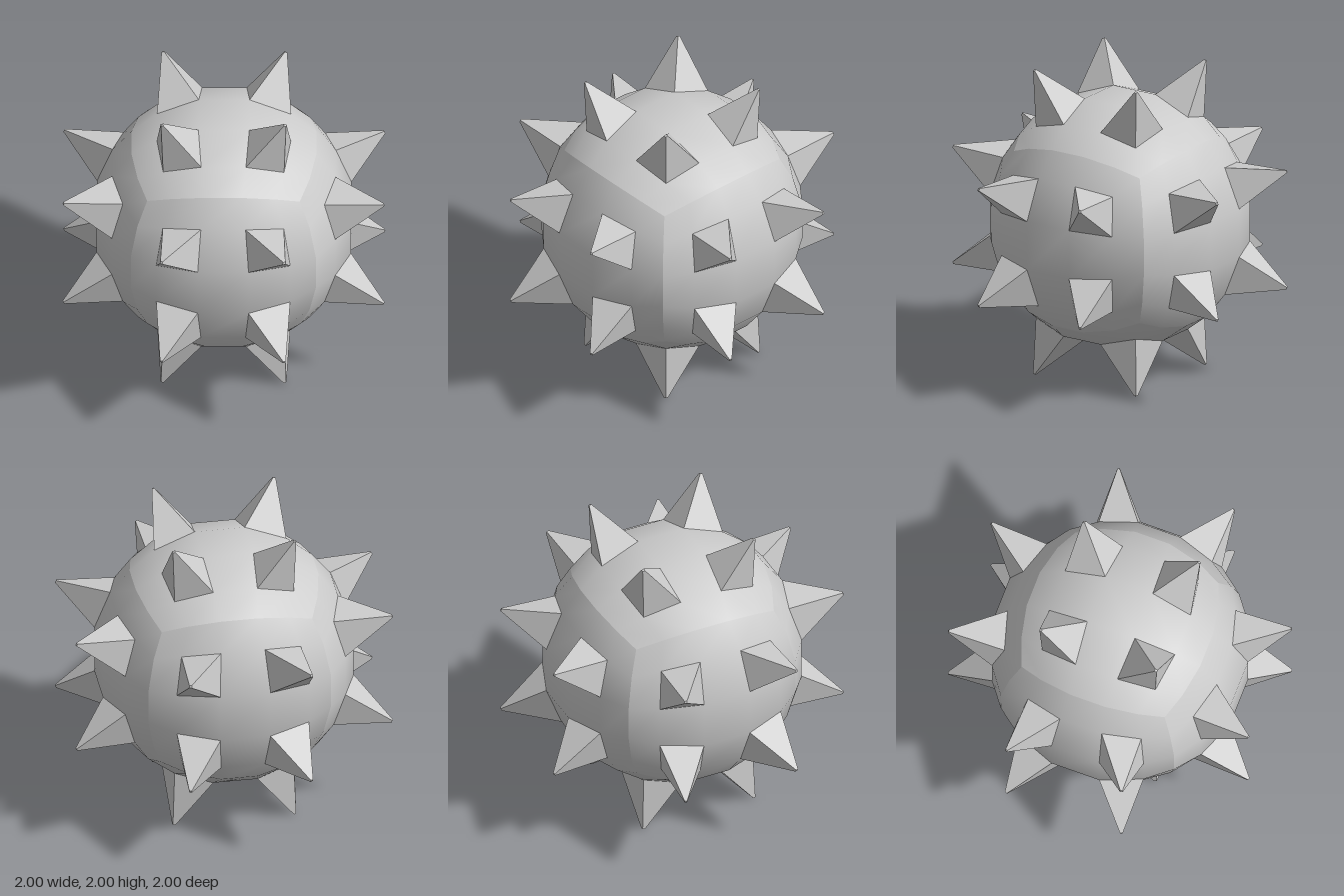
import * as THREE from 'three';

const RADIUS = 0.823;
const onBall = (u, v) => new THREE.Vector3(u, v, 1).setLength(RADIUS);

// One sixth of the ball: a 5 x 5 grid on a cube side, pushed out to the sphere
function panelGeometry() {
  const geometry = new THREE.PlaneGeometry(2, 2, 5, 5);
  const position = geometry.attributes.position;
  for (let i = 0; i < position.count; i++) {
    const p = onBall(position.getX(i), position.getY(i));
    position.setXYZ(i, p.x, p.y, p.z);
  }
  geometry.computeVertexNormals();
  return geometry;
}

// One grid cell drawn out to a tiny blunt tip
function spikeGeometry() {
  const base = [[0.2, 0.2], [0.6, 0.2], [0.6, 0.6], [0.2, 0.6]].map(([u, v]) => onBall(u, v));
  const centre = new THREE.Vector3();
  base.forEach((p) => centre.addScaledVector(p, 0.25));
  const peak = new THREE.Vector3(0.383, 0.383, 0.997);
  const tip = base.map((p) => p.clone().sub(centre).multiplyScalar(0.06).add(peak));

  const index = [4, 5, 6, 4, 6, 7];
  for (let i = 0; i < 4; i++) {
    const j = (i + 1) % 4;
    index.push(i, j, j + 4, i, j + 4, i + 4);
  }
  const geometry = new THREE.BufferGeometry().setFromPoints([...base, ...tip]);
  geometry.setIndex(index);
  geometry.computeVertexNormals();
  return geometry;
}

export function createModel() {
  const model = new THREE.Group();
  model.name = 'spikedBall';
  const smooth = new THREE.MeshStandardMaterial({ color: 0xcccccc });
  const faceted = new THREE.MeshStandardMaterial({ color: 0xcccccc, flatShading: true });
  const panel = panelGeometry();
  const spike = spikeGeometry();

  const quarter = Math.PI / 2;
  const sides = {
    front: [0, 0], left: [0, quarter], back: [0, Math.PI], right: [0, -quarter],
    top: [-quarter, 0], bottom: [quarter, 0],
  };

  // Six equal sides, each a curved panel with four spikes
  for (const [name, [rx, ry]] of Object.entries(sides)) {
    const side = new THREE.Group();
    side.name = `${name}Side`;
    const shell = new THREE.Mesh(panel, smooth);
    shell.name = `${name}Panel`;
    side.add(shell);
    for (let i = 0; i < 4; i++) {
      const mesh = new THREE.Mesh(spike, faceted);
      mesh.name = `${name}Spike${i + 1}`;
      mesh.rotation.z = i * quarter;
      side.add(mesh);
    }
    side.rotation.set(rx, ry, 0);
    side.position.y = 1;
    model.add(side);
  }
  return model;
}
